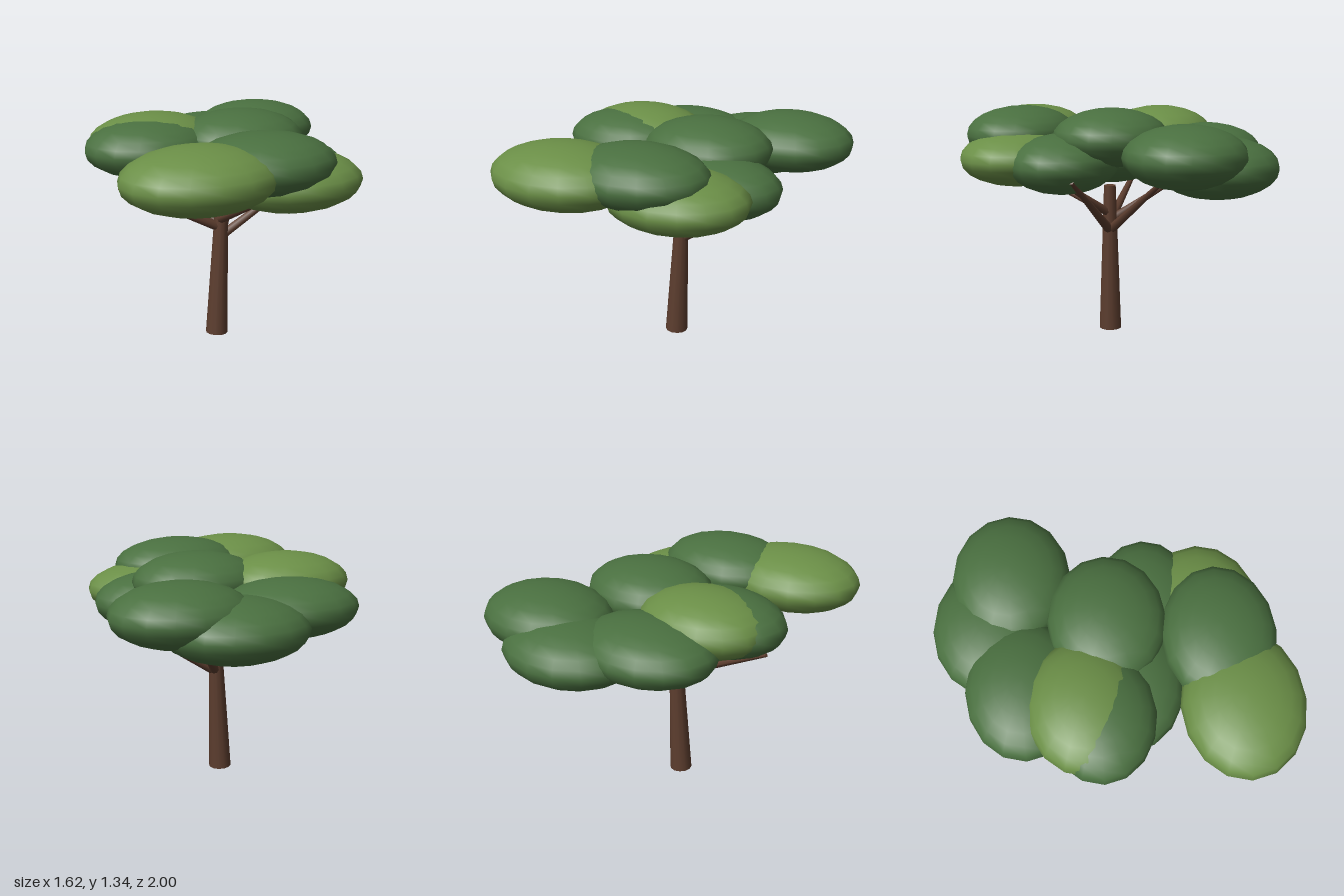
import * as THREE from 'three';

const bark = new THREE.MeshStandardMaterial({ name: 'bark brown', color: 0x5c3d2e });
const darkLeaf = new THREE.MeshStandardMaterial({ name: 'dark leaf green', color: 0x4a7040 });
const lightLeaf = new THREE.MeshStandardMaterial({ name: 'light leaf green', color: 0x6b8f47 });

// Tapered round limb between two points
function limb(name, from, to, r0, r1, sides) {
  const a = new THREE.Vector3(...from);
  const b = new THREE.Vector3(...to);
  const dir = b.clone().sub(a);
  const mesh = new THREE.Mesh(new THREE.CylinderGeometry(r1, r0, dir.length(), sides), bark);
  mesh.name = name;
  mesh.position.copy(a).add(b).multiplyScalar(0.5);
  mesh.quaternion.setFromUnitVectors(new THREE.Vector3(0, 1, 0), dir.normalize());
  return mesh;
}

export function createModel() {
  const tree = new THREE.Group();
  tree.name = 'flatToppedTree';

  // Leaning trunk
  tree.add(limb('trunk', [-0.053, 0.005, 0.028], [-0.014, 0.88, 0.018], 0.066, 0.035, 12));

  // Branches fanning out under the canopy
  const branches = [
    [[-0.02, 0.66, 0.02], [-0.63, 0.96, 0.02], 0.03, 0.01],
    [[-0.03, 0.71, 0.02], [-0.01, 0.93, 0.5], 0.026, 0.012],
    [[-0.02, 0.61, 0.02], [0.55, 0.97, 0.04], 0.028, 0.012],
    [[-0.02, 0.61, 0.02], [0.28, 0.97, -0.4], 0.028, 0.012],
    [[-0.02, 0.71, 0.02], [0.26, 0.91, 0.19], 0.026, 0.014],
    [[-0.02, 0.67, 0.02], [-0.37, 0.95, -0.38], 0.028, 0.012],
  ];
  branches.forEach(([from, to, r0, r1]) => tree.add(limb('branch', from, to, r0, r1, 8)));

  // Flattened leaf clumps: centre, radii, colour
  const clumps = [
    ['frontLeftClump', [-0.39, 1.148, 0.66], [0.42, 0.172, 0.335], lightLeaf],
    ['frontClump', [0.0, 1.172, 0.565], [0.4, 0.165, 0.315], darkLeaf],
    ['frontRightClump', [0.19, 1.05, 0.495], [0.405, 0.162, 0.335], lightLeaf],
    ['rightClump', [0.27, 1.035, 0.19], [0.38, 0.17, 0.3], darkLeaf],
    ['lowerLeftClump', [-0.19, 1.045, 0.06], [0.4, 0.165, 0.31], darkLeaf],
    ['upperLeftClump', [-0.36, 1.165, -0.18], [0.38, 0.167, 0.315], lightLeaf],
    ['leftClump', [-0.41, 1.15, -0.1], [0.375, 0.165, 0.3], darkLeaf],
    ['topClump', [0.12, 1.175, -0.035], [0.375, 0.167, 0.325], darkLeaf],
    ['backRightClump', [0.425, 1.115, -0.55], [0.385, 0.17, 0.33], darkLeaf],
    ['backClump', [0.165, 1.035, -0.66], [0.4, 0.17, 0.34], darkLeaf],
    ['backLeftClump', [-0.22, 1.085, -0.5], [0.4, 0.16, 0.32], darkLeaf],
  ];
  const ball = new THREE.SphereGeometry(1, 16, 12);
  clumps.forEach(([name, centre, radii, material]) => {
    const mesh = new THREE.Mesh(ball, material);
    mesh.name = name;
    mesh.position.set(...centre);
    mesh.scale.set(...radii);
    tree.add(mesh);
  });

  return tree;
}
